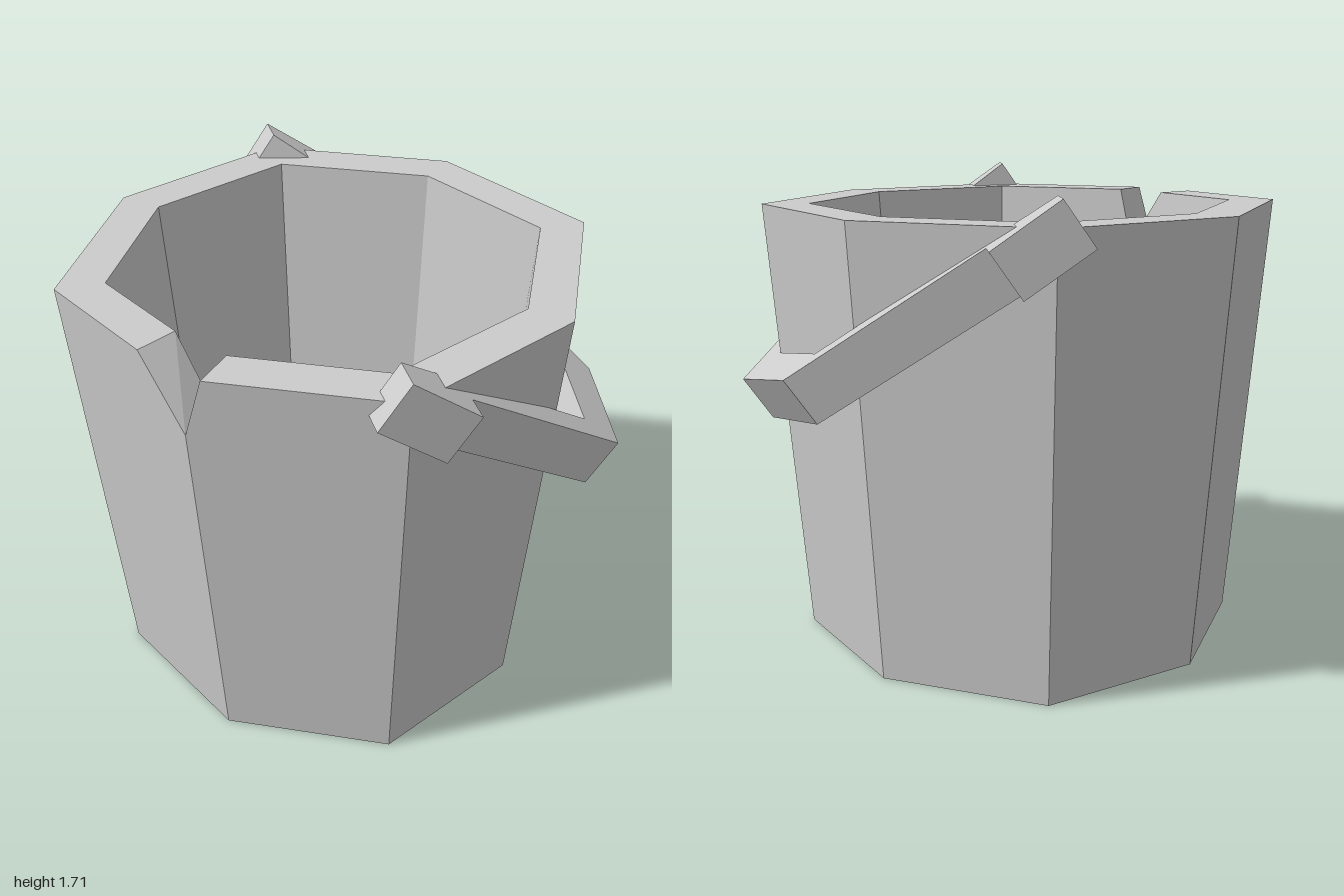
import * as THREE from 'three';

const HEIGHT = 1.62, FLOOR = 0.25, NOTCH = 1.4;
const outerRadius = y => 0.82 + 0.13 * y / HEIGHT;
const innerRadius = y => 0.67 + 0.11 * (y - FLOOR) / (HEIGHT - FLOOR);

// Unit octagon with slightly pulled-in diagonals, plus the corners of the rim chip
function rimStations() {
  const k = 0.673;
  const c = [[1, 0], [k, k], [0, 1], [-k, k], [-1, 0], [-k, -k], [0, -1], [k, -k]];
  const mix = (a, b, t) => [a[0] + (b[0] - a[0]) * t, a[1] + (b[1] - a[1]) * t];
  const all = [c[0], c[1], c[2], mix(c[2], c[3], 0.9), c[3], mix(c[3], c[4], 0.3), ...c.slice(4)];
  return all.map(u => ({ u, top: u === c[3] ? NOTCH : HEIGHT }));
}

// Profile of one station: base centre, outer wall, rim, inner wall, floor centre
function profile({ u, top }) {
  const at = (r, y) => [u[0] * r, y, u[1] * r];
  return [
    at(0, 0), at(outerRadius(0), 0), at(outerRadius(top), top),
    at(innerRadius(top), top), at(innerRadius(FLOOR), FLOOR), at(0, FLOOR),
  ];
}

function bucketGeometry() {
  const rings = rimStations().map(profile);
  const pos = [];
  rings.forEach((a, i) => {
    const b = rings[(i + 1) % rings.length];
    for (let k = 0; k < a.length - 1; k++) {
      if (k < a.length - 2) pos.push(...a[k], ...a[k + 1], ...b[k + 1]);
      if (k > 0) pos.push(...a[k], ...b[k + 1], ...b[k]);
    }
  });
  const g = new THREE.BufferGeometry();
  g.setAttribute('position', new THREE.Float32BufferAttribute(pos, 3));
  g.computeVertexNormals();
  return g;
}

// Flat angular bail with a square peg at each end, tilted down to one side
function handleGeometry() {
  const half = [[0, 0.86], [0, 0.98], [0.27, 0.98], [0.27, 0.885], [1.05, 0.655], [1.29, 0]];
  const inner = [[1.12, 0], [0.927, 0.58]];
  const mirror = pts => pts.map(([s, z]) => [s, -z]).reverse();
  const outline = [...half, ...mirror(half.slice(0, -1)), ...mirror(inner.slice(1)), ...inner];
  const shape = new THREE.Shape(outline.map(p => new THREE.Vector2(...p)));
  const g = new THREE.ExtrudeGeometry(shape, { depth: 0.183, bevelEnabled: false });
  const along = new THREE.Vector3(0.82, -0.572, 0).normalize();
  const normal = new THREE.Vector3(-along.y, along.x, 0);
  const across = new THREE.Vector3().crossVectors(normal, along);
  g.applyMatrix4(new THREE.Matrix4().makeBasis(along, across, normal).setPosition(-0.165, 1.56, 0));
  return g;
}

export function createModel() {
  const group = new THREE.Group();
  group.name = 'bucket';
  const material = new THREE.MeshStandardMaterial({ color: 0xcccccc, flatShading: true });

  const body = new THREE.Mesh(bucketGeometry(), material);
  body.name = 'bucketBody';
  body.position.x = -0.05;

  const handle = new THREE.Mesh(handleGeometry(), material);
  handle.name = 'handle';

  group.add(body, handle);
  return group;
}
